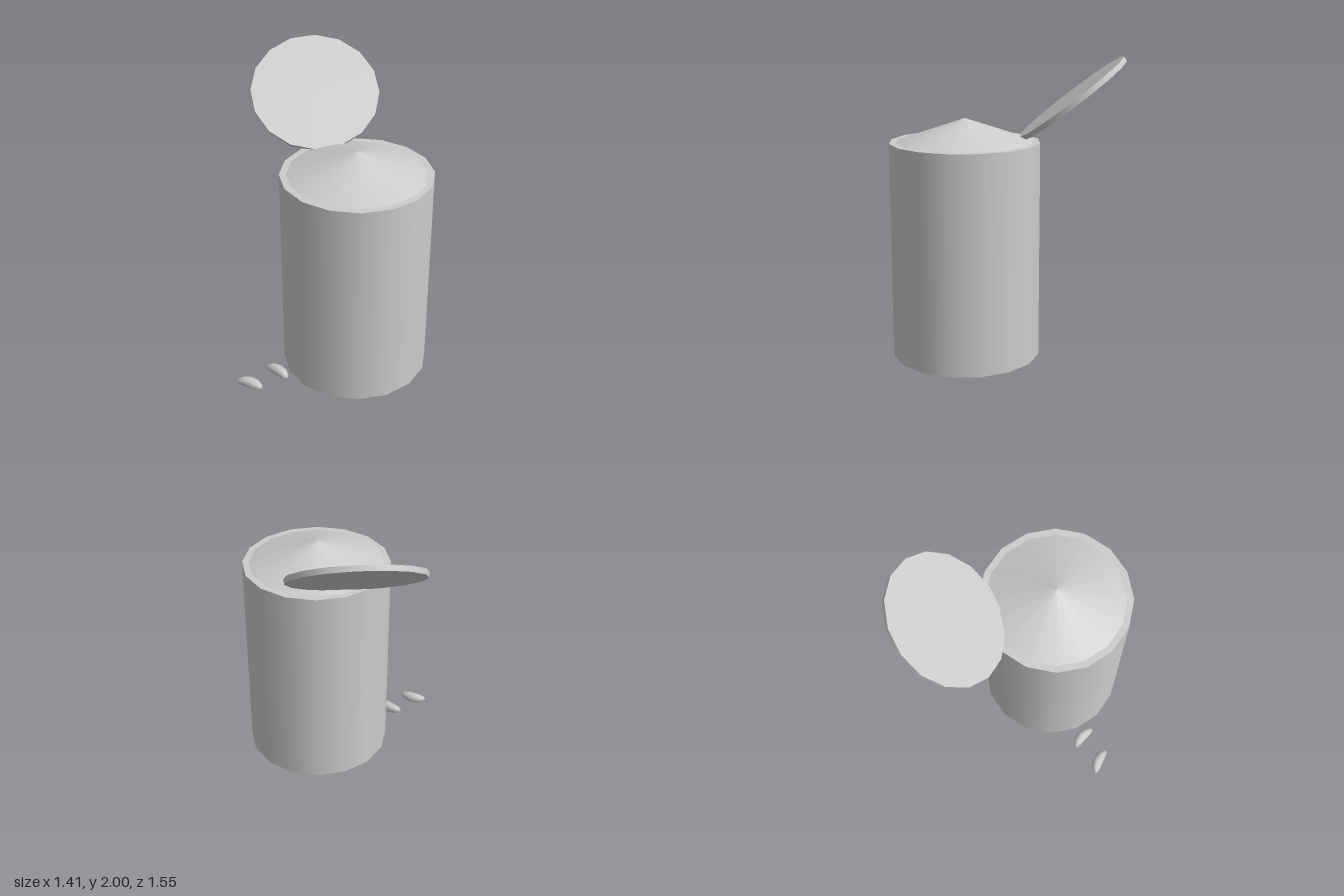
import * as THREE from 'three';

const SIDES = 16;

export function createModel() {
  const model = new THREE.Group();
  const grey = new THREE.MeshStandardMaterial({ color: 0xcccccc });
  grey.name = 'plain grey';

  function add(name, geometry, x, y, z) {
    const mesh = new THREE.Mesh(geometry, grey);
    mesh.name = name;
    mesh.position.set(x, y, z);
    model.add(mesh);
    return mesh;
  }

  // Can standing on the ground, filled with a shallow heap
  const canX = 0.21, canZ = 0.12, canHeight = 1.455;
  add('canBody', new THREE.CylinderGeometry(0.5, 0.5, canHeight, SIDES), canX, canHeight / 2, canZ);
  add('heapedContents', new THREE.ConeGeometry(0.455, 0.155, SIDES, 1, true), canX, canHeight + 0.0775, canZ);

  // Thin lid peeled open, its lower edge tucked behind the heap
  const lid = add('openLid', new THREE.CylinderGeometry(0.44, 0.435, 0.035, SIDES), -0.283, 1.72, -0.412);
  const lidNormal = new THREE.Vector3(0.276, 0.79, 0.55).normalize();
  lid.quaternion.setFromUnitVectors(new THREE.Vector3(0, 1, 0), lidNormal);

  // Two loose beans: stretched spheres, bent slightly along their length
  function beanGeometry() {
    const geometry = new THREE.SphereGeometry(1, 8, 6);
    geometry.rotateZ(Math.PI / 2);
    geometry.scale(0.098, 0.038, 0.038);
    const p = geometry.attributes.position;
    for (let i = 0; i < p.count; i++) {
      const x = p.getX(i);
      p.setZ(i, p.getZ(i) + 2.2 * x * x - 0.008);
    }
    geometry.computeBoundingSphere();
    return geometry;
  }
  const beans = [
    { x: -0.2, z: 0.547, turn: -0.33 },
    { x: -0.325, z: 0.73, turn: -0.05 },
  ];
  beans.forEach(({ x, z, turn }, i) => {
    add('bean' + (i + 1), beanGeometry(), x, 0.043, z).rotation.y = turn;
  });

  return model;
}
